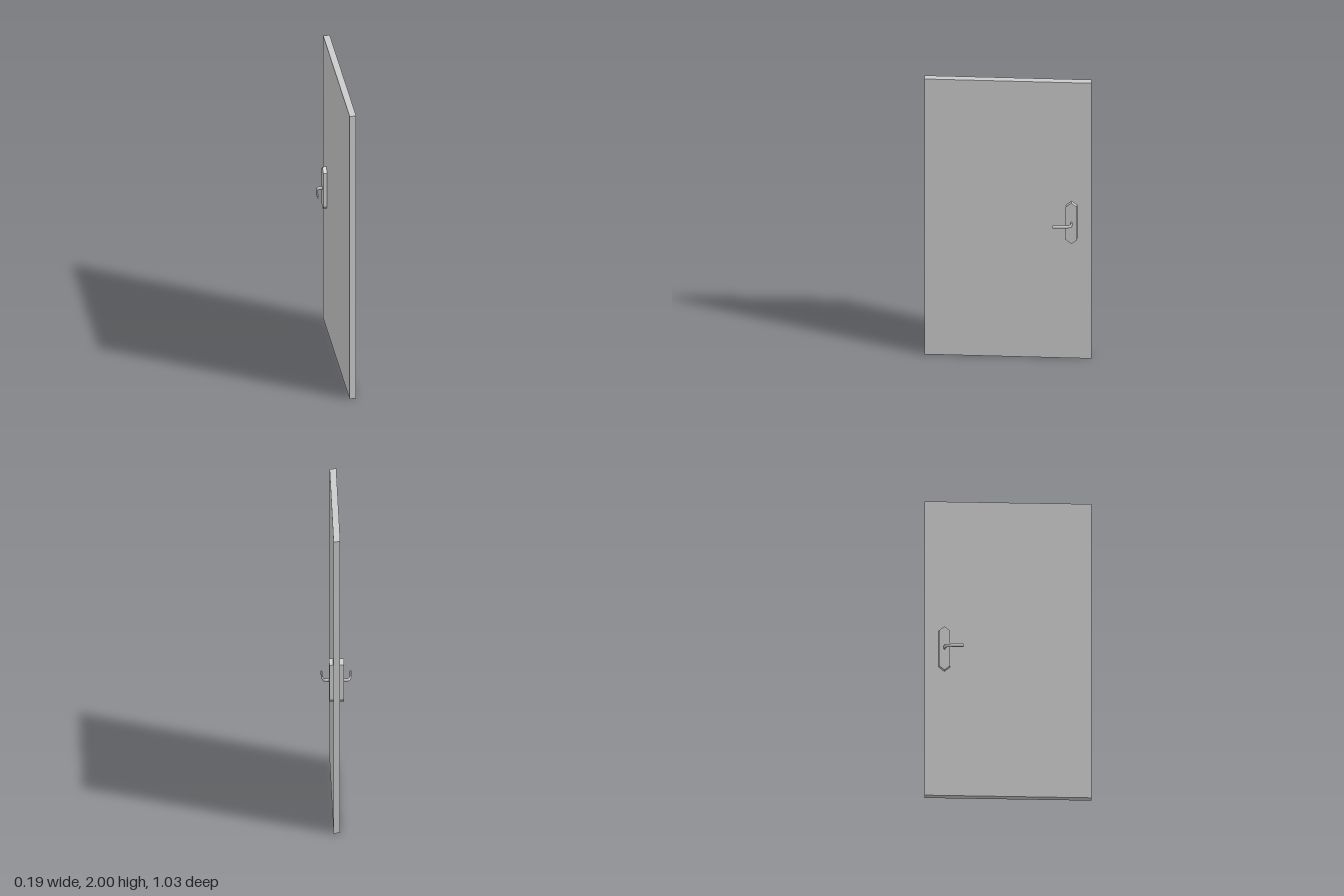
import * as THREE from 'three';

const HANDLE_Z = -0.394;
const HANDLE_Y = 0.99;

export function createModel() {
  const group = new THREE.Group();
  group.name = 'door';
  const material = new THREE.MeshStandardMaterial({ color: 0xcccccc });

  const add = (name, geometry, parent = group) => {
    const mesh = new THREE.Mesh(geometry, material);
    mesh.name = name;
    parent.add(mesh);
    return mesh;
  };

  // Door leaf
  add('doorPanel', new THREE.BoxGeometry(0.041, 2, 1.031).translate(0, 1, 0));

  // Backplate outline, pointed at top and bottom
  const plate = new THREE.Shape([
    [0, 0.148], [-0.035, 0.119], [-0.035, -0.119],
    [0, -0.148], [0.035, -0.119], [0.035, 0.119],
  ].map(([u, v]) => new THREE.Vector2(u, v)));

  for (const side of [1, -1]) {
    const set = new THREE.Group();
    set.name = side > 0 ? 'leftHandleSet' : 'rightHandleSet';
    set.position.set(0, HANDLE_Y + 0.002, HANDLE_Z);
    group.add(set);

    // Backplate standing off the door face
    add('backplate', new THREE.ExtrudeGeometry(plate, { depth: 0.027, bevelEnabled: false })
      .translate(0, 0, 0.018)
      .rotateY(side * Math.PI / 2), set);

    // Lever: out from the plate, round the bend and along the door
    const point = (x, z) => new THREE.Vector3(side * x, 0, z);
    const path = new THREE.CurvePath();
    path.add(new THREE.LineCurve3(point(0.04, 0), point(0.064, 0)));
    path.add(new THREE.CubicBezierCurve3(
      point(0.064, 0), point(0.088, 0), point(0.088, 0.045), point(0.0905, 0.116)));
    const radius = 0.006;
    const flatten = 1.8; // oval section, taller than it is thick
    const lever = add('lever', new THREE.TubeGeometry(path, 40, radius, 20), set);
    lever.scale.y = flatten;

    // Flat end of the lever
    const tangent = path.getTangent(1);
    const end = add('leverEnd', new THREE.CircleGeometry(radius, 20)
      .rotateY(Math.atan2(tangent.x, tangent.z)), set);
    end.position.copy(path.getPoint(1));
    end.scale.y = flatten;
  }

  return group;
}
